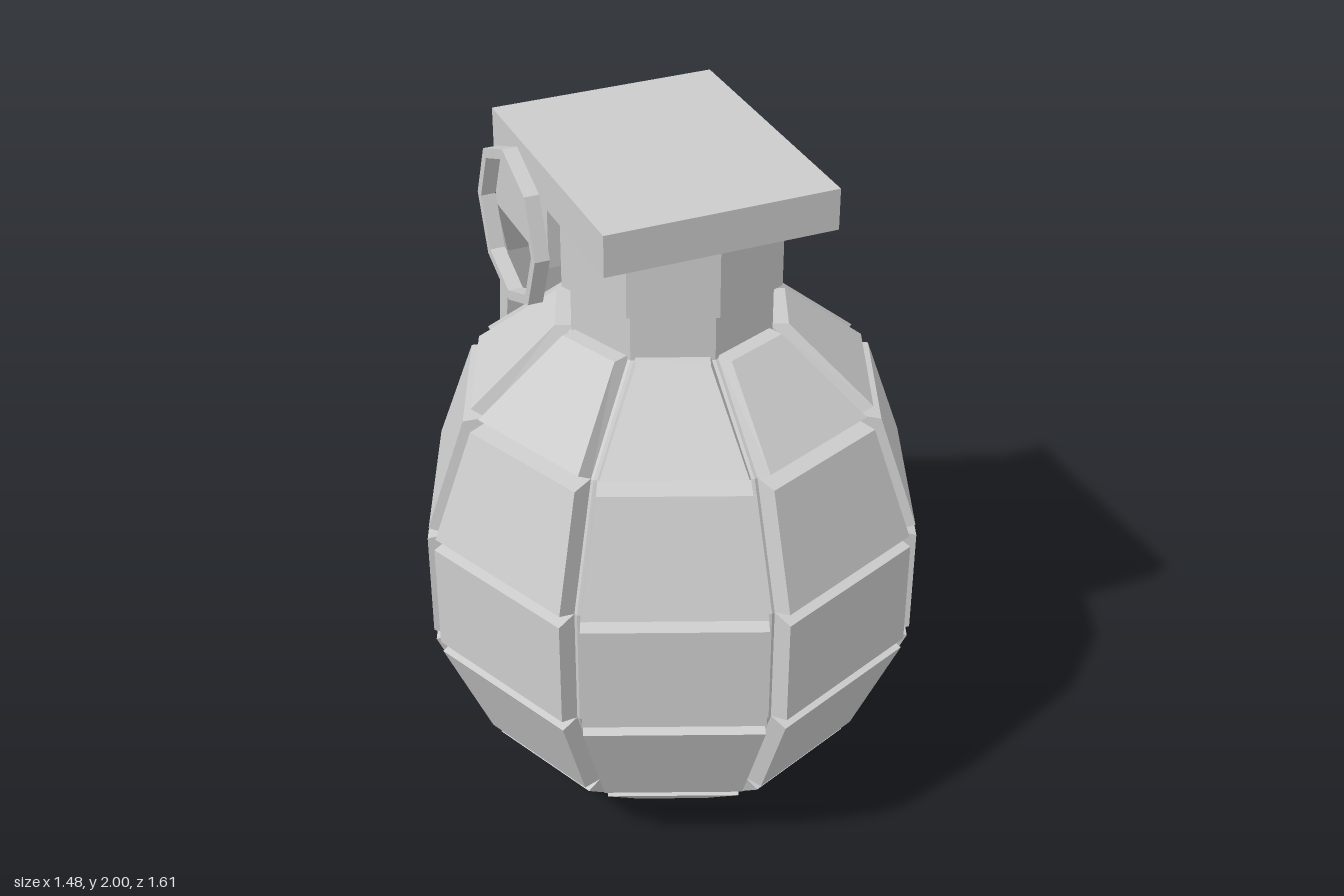
import * as THREE from 'three';

const material = new THREE.MeshStandardMaterial({ color: 0xcccccc, flatShading: true });
const SIDES = 8;
const BODY_Z = 0.06;

function add(parent, name, geometry, x = 0, y = 0, z = 0) {
  const mesh = new THREE.Mesh(geometry, material);
  mesh.name = name;
  mesh.position.set(x, y, z);
  parent.add(mesh);
  return mesh;
}

// Solid lofted through four-cornered cross-sections, capped at both ends
function loft(rings) {
  const pos = [];
  const quad = (a, b, c, d) => [a, b, c, a, c, d].forEach((p) => pos.push(...p));
  for (let i = 0; i < rings.length - 1; i++) {
    for (let j = 0; j < 4; j++) {
      const k = (j + 1) % 4;
      quad(rings[i][j], rings[i][k], rings[i + 1][k], rings[i + 1][j]);
    }
  }
  quad(...[...rings[0]].reverse());
  quad(...rings[rings.length - 1]);
  const geometry = new THREE.BufferGeometry();
  geometry.setAttribute('position', new THREE.Float32BufferAttribute(pos, 3));
  geometry.computeVertexNormals();
  return geometry;
}

const lathe = (points) =>
  new THREE.LatheGeometry(points.map(([r, y]) => new THREE.Vector2(r, y)), SIDES);

// Two points on one side of the octagon, each pulled in from its corner
function sideEnds(side, radius, y, inset) {
  const corner = (k) => {
    const a = (k * 2 * Math.PI) / SIDES;
    return [radius * Math.sin(a), y, radius * Math.cos(a)];
  };
  const p = corner(side), q = corner(side + 1);
  const t = inset / (2 * radius * Math.sin(Math.PI / SIDES));
  const mix = (s) => p.map((v, i) => v + (q[i] - v) * s);
  return [mix(t), mix(1 - t)];
}

export function createModel() {
  const model = new THREE.Group();
  const body = new THREE.Group();
  body.name = 'body';
  body.position.z = BODY_Z;
  model.add(body);

  // Core under the plates; its bends are the bottoms of the grooves
  const seams = [[0.3, 0], [0.54, 0.23], [0.69, 0.585], [0.69, 0.95], [0.56, 1.31], [0.29, 1.545]];
  add(body, 'core', lathe([[0, 0], ...seams, [0, 1.545]]));

  // Bevelled plates: [lower radius, lower y, upper radius, upper y]
  const rows = [
    [0.355, 0, 0.585, 0.205],
    [0.61, 0.24, 0.75, 0.57],
    [0.755, 0.605, 0.755, 0.935],
    [0.75, 0.97, 0.63, 1.3],
    [0.605, 1.335, 0.35, 1.545],
  ];
  rows.forEach(([r0, y0, r1, y1], i) => {
    const row = new THREE.Group();
    row.name = `plateRow${i + 1}`;
    body.add(row);
    const quad = (side, ra, ya, rb, yb, inset) => {
      const [a, b] = sideEnds(side, ra, ya, inset);
      const [d, c] = sideEnds(side, rb, yb, inset);
      return [a, b, c, d];
    };
    for (let side = 0; side < SIDES; side++) {
      add(row, 'plate', loft([
        quad(side, ...seams[i], ...seams[i + 1], 0.01),
        quad(side, r0, y0, r1, y1, 0.033),
      ]));
    }
  });

  // Stepped neck
  add(body, 'neck', lathe([
    [0, 1.53], [0.3, 1.53], [0.3, 1.68], [0.325, 1.68], [0.325, 1.89], [0, 1.89],
  ]));

  // Cap with the block that carries the lever
  add(model, 'cap', new THREE.BoxGeometry(0.67, 0.12, 0.835), 0, 1.94, -0.018);
  add(model, 'leverBlock', new THREE.BoxGeometry(0.67, 0.18, 0.425), 0, 1.793, -0.2225);

  // Lever: [half width, outer z, outer y, inner z, inner y] down its length
  const stations = [
    [0.335, -0.435, 1.88, -0.435, 1.703],
    [0.235, -0.715, 1.42, -0.65, 1.42],
    [0.235, -0.81, 0.73, -0.742, 0.73],
    [0.235, -0.715, 0.04, -0.648, 0.04],
  ];
  add(model, 'lever', loft(stations.map(([w, zo, yo, zi, yi]) => [
    [-w, yo, zo], [w, yo, zo], [w, yi, zi], [-w, yi, zi],
  ])));

  // Pull ring on the right side of the block
  const ring = add(model, 'pullRing', lathe([
    [0.205, -0.022], [0.235, -0.022], [0.235, 0.022], [0.205, 0.022], [0.205, -0.022],
  ]), -0.358, 1.735, -0.23);
  ring.rotation.z = Math.PI / 2;

  return model;
}
